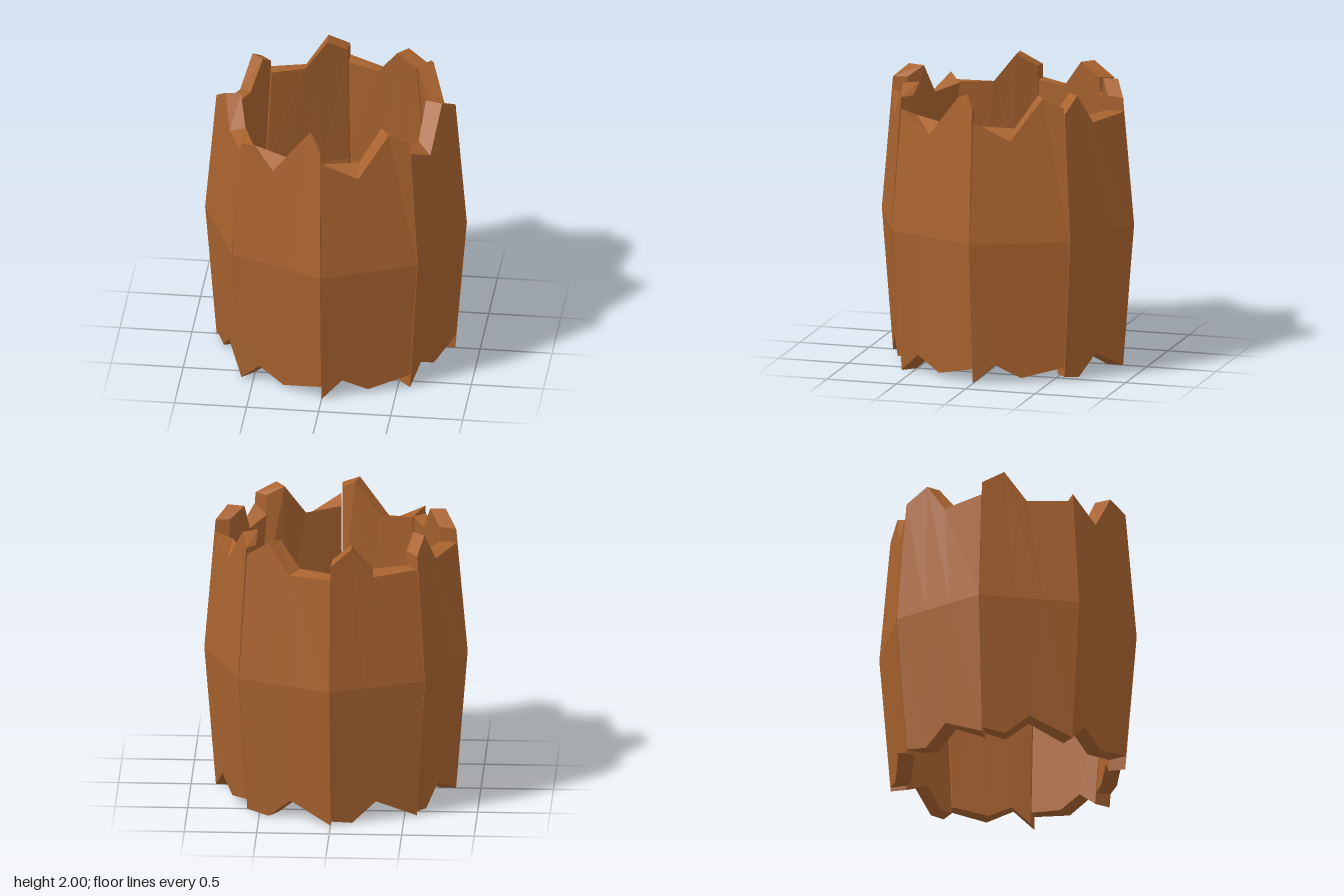
import * as THREE from 'three';

// Plank sections as [across, outward, height], four points from left to right
const MID_OUT = [-0.346, -0.1, 0.1, 0.346].map(t => [t, 0.84, 1]);
const MID_IN = [-0.298, -0.09, 0.09, 0.298].map(t => [t, 0.73, 1]);

const plankA = {
  outer: [
    [[-0.318, 0.77, 1.85], [-0.06, 0.78, 1.71], [0.168, 0.745, 2], [0.312, 0.77, 1.93]],
    MID_OUT,
    [[-0.318, 0.765, 0], [-0.172, 0.77, 0.13], [0.016, 0.765, 0.03], [0.316, 0.77, 0.1]],
  ],
  inner: [
    [[-0.272, 0.657, 1.795], [-0.02, 0.665, 1.775], [0.151, 0.626, 2], [0.264, 0.682, 1.93]],
    MID_IN,
    [[-0.272, 0.657, 0], [-0.14, 0.66, 0.11], [0.02, 0.655, 0.03], [0.27, 0.665, 0.08]],
  ],
};
const plankB = {
  outer: [
    [[-0.316, 0.767, 1.89], [-0.156, 0.747, 1.99], [0.0, 0.76, 1.775], [0.318, 0.772, 1.795]],
    MID_OUT,
    [[-0.316, 0.765, 0.03], [-0.156, 0.76, 0], [0.015, 0.77, 0.14], [0.318, 0.765, 0]],
  ],
  inner: [
    [[-0.267, 0.663, 1.9], [-0.12, 0.646, 1.99], [0.034, 0.657, 1.8], [0.274, 0.665, 1.8]],
    MID_IN,
    [[-0.267, 0.66, 0.03], [-0.13, 0.655, 0], [0.03, 0.66, 0.13], [0.274, 0.66, 0]],
  ],
};

// Closed flat-shaded solid between the outer and inner grids
function plankGeometry({ outer, inner }) {
  const pos = [];
  const quad = (a, b, c, d) => {
    for (const [t, n, y] of [a, b, c, a, c, d]) pos.push(t, y, n);
  };
  for (let r = 0; r < 2; r++) {
    for (let c = 0; c < 3; c++) {
      quad(outer[r][c], outer[r + 1][c], outer[r + 1][c + 1], outer[r][c + 1]);
      quad(inner[r][c], inner[r][c + 1], inner[r + 1][c + 1], inner[r + 1][c]);
    }
    // side faces
    quad(inner[r][0], inner[r + 1][0], outer[r + 1][0], outer[r][0]);
    quad(outer[r][3], outer[r + 1][3], inner[r + 1][3], inner[r][3]);
  }
  for (let c = 0; c < 3; c++) {
    // jagged top and bottom ends
    quad(inner[0][c], outer[0][c], outer[0][c + 1], inner[0][c + 1]);
    quad(outer[2][c], inner[2][c], inner[2][c + 1], outer[2][c + 1]);
  }
  const g = new THREE.BufferGeometry();
  g.setAttribute('position', new THREE.Float32BufferAttribute(pos, 3));
  g.computeVertexNormals();
  return g;
}

export function createModel() {
  const group = new THREE.Group();
  group.name = 'brokenStaveRing';
  const wood = new THREE.MeshStandardMaterial({ color: 0xa9632f });
  wood.name = 'brown wood';
  wood.flatShading = true;

  // Eight splintered staves: four of each cut around the ring
  const cuts = [plankGeometry(plankA), plankGeometry(plankB)];
  for (let i = 0; i < 8; i++) {
    const stave = new THREE.Mesh(cuts[i < 4 ? 0 : 1], wood);
    stave.name = `stave${i + 1}`;
    stave.rotation.y = (i - 0.5) * Math.PI / 4;
    group.add(stave);
  }
  return group;
}
